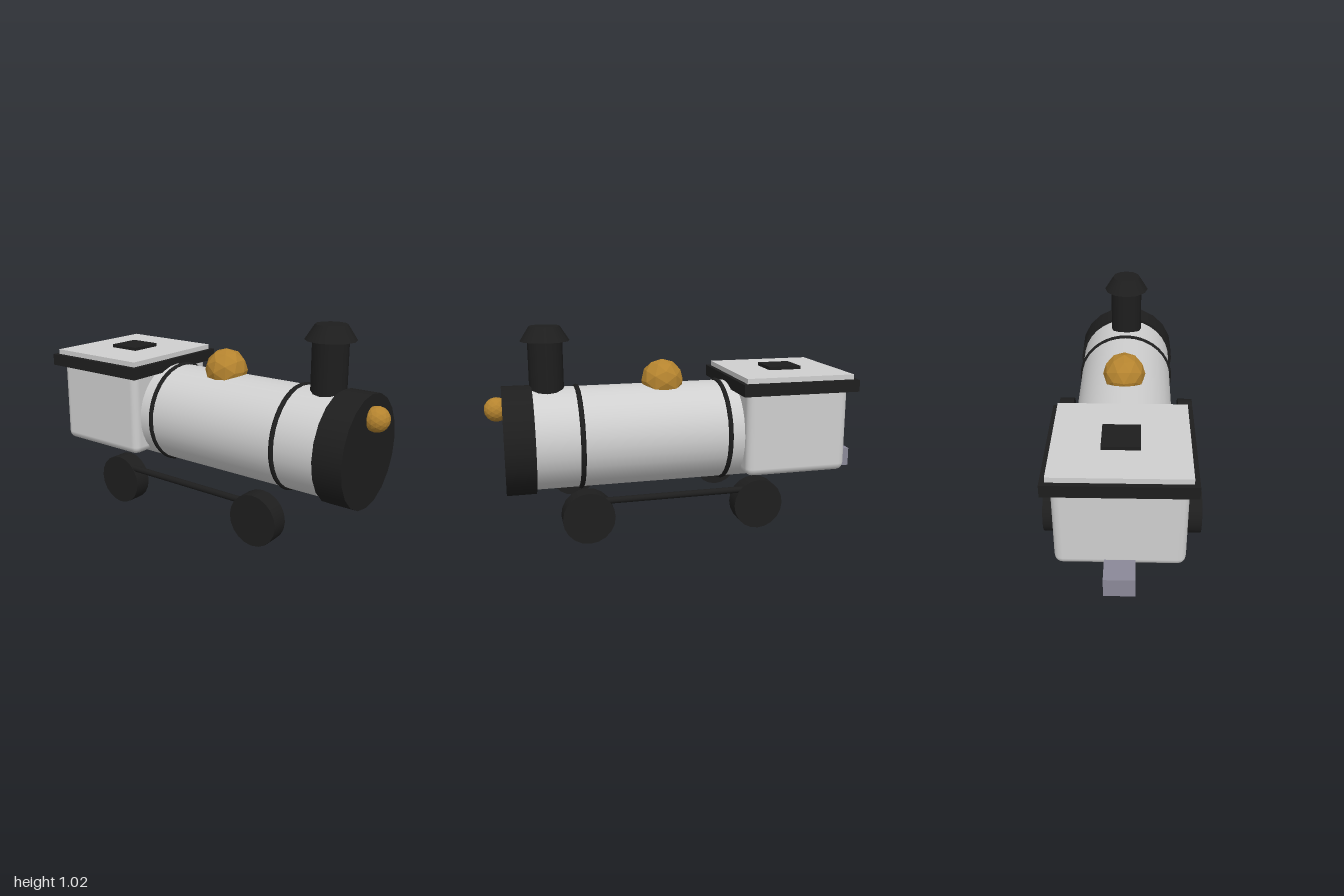
import * as THREE from 'three';
import { RoundedBoxGeometry } from 'three/addons/geometries/RoundedBoxGeometry.js';

const material = (name, color, flatShading = false) => {
  const m = new THREE.MeshStandardMaterial({ color, flatShading });
  m.name = name;
  return m;
};

export function createModel() {
  const black = material('black iron', 0x1e1e1e);
  const silver = material('light grey paint', 0xcfcfcf);
  const brass = material('brass', 0xb5842f, true);
  const steel = material('coupling grey', 0x8b8998);

  const model = new THREE.Group();
  model.name = 'locomotive';

  const add = (name, geometry, mat, x, y, z = 0, parent = model) => {
    const mesh = new THREE.Mesh(geometry, mat);
    mesh.name = name;
    mesh.position.set(x, y, z);
    parent.add(mesh);
    return mesh;
  };
  const box = (w, h, d) => new THREE.BoxGeometry(w, h, d);
  // Cylinder lying along x
  const barrel = (r, length, sides) =>
    new THREE.CylinderGeometry(r, r, length, sides).rotateZ(-Math.PI / 2);

  // Boiler with its smokebox, bands and headlamp
  add('boiler', barrel(0.264, 1.3, 32), silver, 0.12, 0.435);
  add('smokebox', barrel(0.283, 0.15, 20), black, 0.835, 0.433);
  for (const x of [-0.23, 0.53]) {
    const band = new THREE.TorusGeometry(0.262, 0.0135, 8, 40).rotateY(Math.PI / 2);
    add('boilerBand', band, black, x, 0.435);
  }
  add('headlamp', new THREE.IcosahedronGeometry(0.063, 2), brass, 0.937, 0.6);
  add('steamDome', new THREE.IcosahedronGeometry(0.113, 1), brass, 0.075, 0.715);

  // Chimney
  add('chimney', new THREE.CylinderGeometry(0.088, 0.088, 0.3, 12), black, 0.682, 0.8);
  add('chimneyCap', new THREE.CylinderGeometry(0.077, 0.125, 0.075, 12), black, 0.682, 0.979);

  // Cab and roof
  add('cab', new RoundedBoxGeometry(0.555, 0.47, 0.608, 2, 0.04), silver, -0.583, 0.468);
  add('roofEave', box(0.63, 0.062, 0.684), black, -0.585, 0.7);
  add('roofPanel', box(0.585, 0.027, 0.634), silver, -0.585, 0.744);
  add('roofHatch', box(0.178, 0.018, 0.178), black, -0.587, 0.766);

  // Rear coupling block
  add('coupling', box(0.125, 0.1, 0.145), steel, -0.9375, 0.235);

  // Wheels and coupling rod, mirrored on both sides
  for (const side of [1, -1]) {
    const gear = new THREE.Group();
    gear.name = side > 0 ? 'frontSideWheels' : 'rearSideWheels';
    model.add(gear);
    for (const x of [-0.33, 0.53]) {
      const wheel = new THREE.CylinderGeometry(0.127, 0.127, 0.088, 20).rotateX(Math.PI / 2);
      add('wheel', wheel, black, x, 0.127, side * 0.368, gear);
    }
    add('couplingRod', barrel(0.016, 0.86, 10), black, 0.1, 0.207, side * 0.395, gear);
  }

  return model;
}
